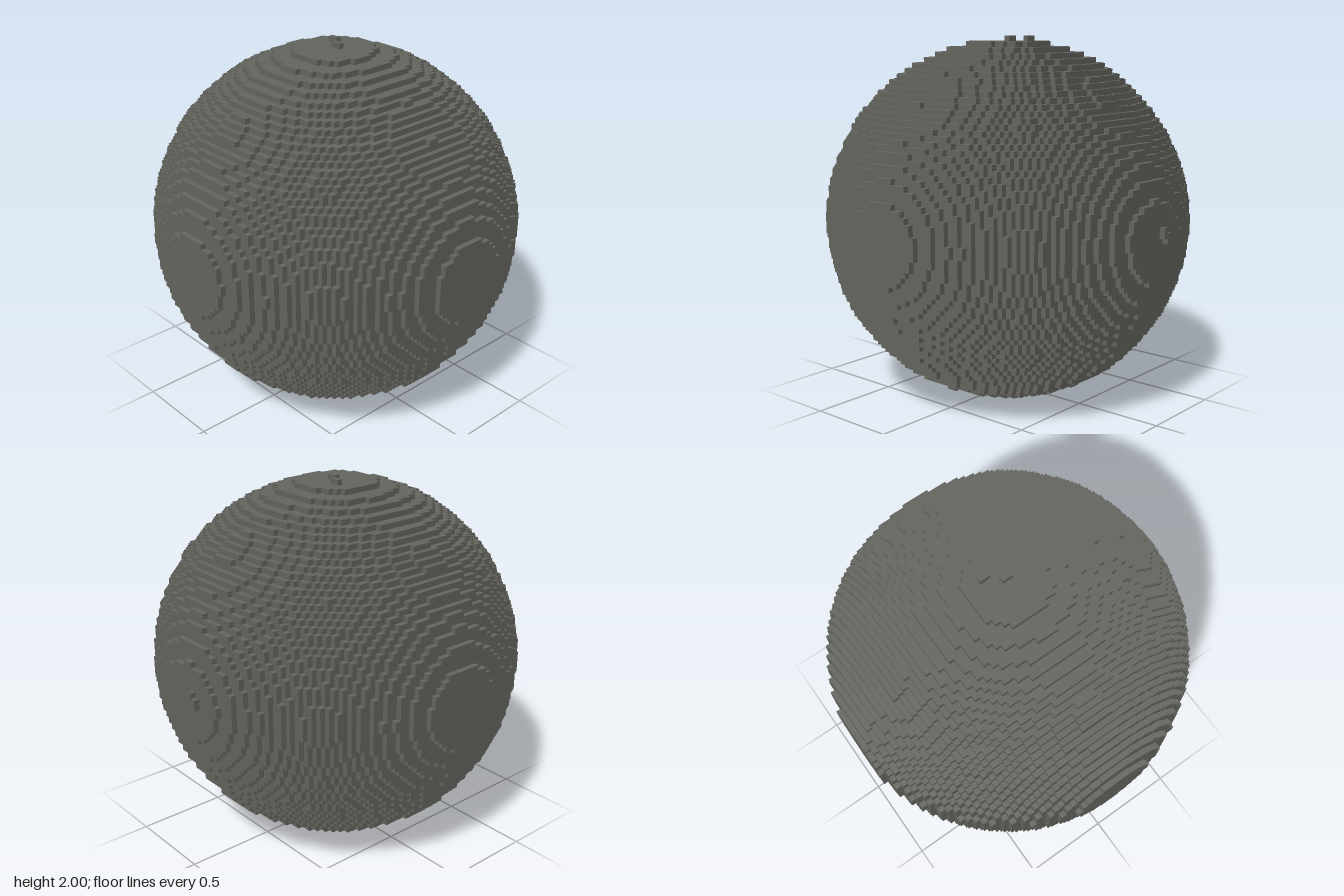
import * as THREE from 'three';

const N = 67;            // cells along the longest side
const S = 2 / N;         // cell size
const HALF = 33;         // half the ball in cells

// shallow hollows: direction, depth in cells, angular tightness
const hollows = [
  [new THREE.Vector3(0.76, 0.65, -0.1).normalize(), 0.9, 16],
  [new THREE.Vector3(0, 0.75, 0.65).normalize(), 0.9, 16],
];

// single cells standing proud of the top and the left side
const bumps = new Set([
  '33,66,32', '33,66,33', '35,66,29', '35,66,30',
  '66,32,30', '66,33,30', '66,33,31', '66,34,31',
]);

function filled(i, j, k) {
  if (bumps.has(`${i},${j},${k}`)) return true;
  if (i < 0 || j < 0 || k < 0 || i > 65 || j > 65 || k > 65) return false;
  const v = new THREE.Vector3(i + 0.5 - HALF, j + 0.5 - HALF, k + 0.5 - HALF);
  const d = v.length();
  if (d < 30) return true;
  v.divideScalar(d);
  let r = 33.35 + 0.15 * Math.sin(9 * v.x + 2) * Math.sin(8 * v.y + 1) * Math.cos(9 * v.z);
  for (const [dir, depth, tight] of hollows) r -= depth * Math.exp(tight * (v.dot(dir) - 1));
  return d < r;
}

// square cells: one quad for every exposed side
function cellGeometry() {
  const grid = new Uint8Array(N * N * N);
  const at = (c) => c.every((n) => n >= 0 && n < N) && grid[(c[0] * N + c[1]) * N + c[2]] === 1;
  for (let i = 0; i < N; i++)
    for (let j = 0; j < N; j++)
      for (let k = 0; k < N; k++) grid[(i * N + j) * N + k] = filled(i, j, k) ? 1 : 0;

  const pos = [], nor = [], idx = [];
  for (let i = 0; i < N; i++)
    for (let j = 0; j < N; j++)
      for (let k = 0; k < N; k++) {
        const cell = [i, j, k];
        if (!at(cell)) continue;
        for (let a = 0; a < 3; a++)
          for (const side of [0, 1]) {
            const next = [...cell];
            next[a] += side ? 1 : -1;
            if (at(next)) continue;
            const b = (a + 1) % 3, c = (a + 2) % 3, start = pos.length / 3;
            for (const [u, w] of [[0, 0], [1, 0], [1, 1], [0, 1]]) {
              const p = [...cell];
              p[a] += side;
              p[b] += u;
              p[c] += w;
              pos.push(p[0] * S - 1, p[1] * S, (p[2] - HALF) * S);
              const n = [0, 0, 0];
              n[a] = side ? 1 : -1;
              nor.push(...n);
            }
            const order = side ? [0, 1, 2, 0, 2, 3] : [0, 2, 1, 0, 3, 2];
            idx.push(...order.map((o) => start + o));
          }
      }
  const g = new THREE.BufferGeometry();
  g.setAttribute('position', new THREE.Float32BufferAttribute(pos, 3));
  g.setAttribute('normal', new THREE.Float32BufferAttribute(nor, 3));
  g.setIndex(idx);
  return g;
}

export function createModel() {
  const group = new THREE.Group();
  group.name = 'blockBall';
  const stone = new THREE.MeshStandardMaterial({ color: 0x666660 });
  stone.name = 'stone grey';
  const ball = new THREE.Mesh(cellGeometry(), stone);
  ball.name = 'ball';
  group.add(ball);
  return group;
}
